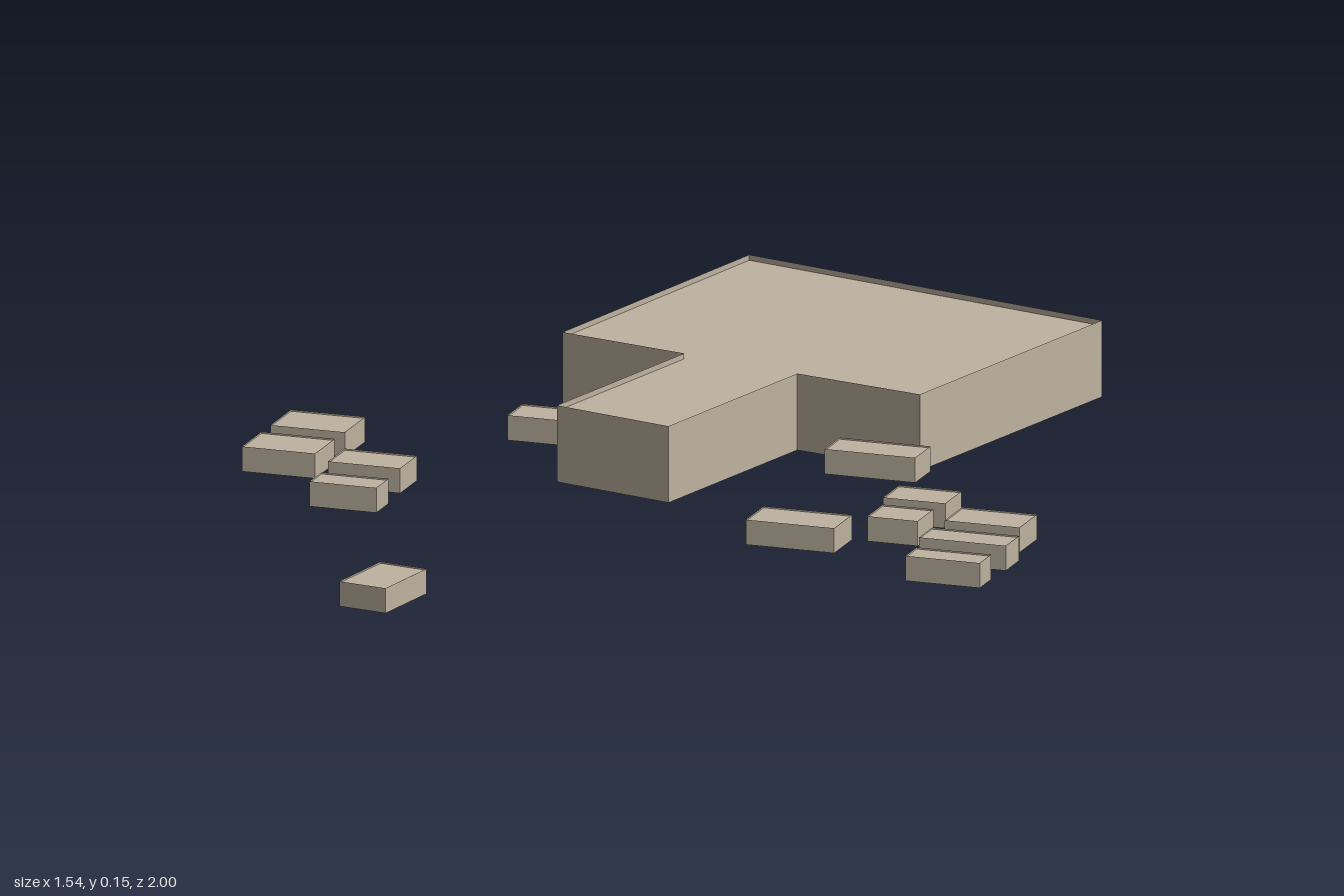
import * as THREE from 'three';

const stone = new THREE.MeshStandardMaterial({ color: 0xbfb3a0, side: THREE.DoubleSide });
stone.name = 'warm stone';

// Open-bottomed building shell: walls around a footprint of [x, z] corners, with a slightly sunken flat roof
function shell(name, corners, bottom, top, recess) {
  const group = new THREE.Group();
  group.name = name;

  const positions = [];
  corners.forEach(([ax, az], i) => {
    const [bx, bz] = corners[(i + 1) % corners.length];
    positions.push(ax, bottom, az, bx, bottom, bz, bx, top, bz);
    positions.push(ax, bottom, az, bx, top, bz, ax, top, az);
  });
  const wallGeometry = new THREE.BufferGeometry();
  wallGeometry.setAttribute('position', new THREE.Float32BufferAttribute(positions, 3));
  wallGeometry.computeVertexNormals();
  const walls = new THREE.Mesh(wallGeometry, stone);
  walls.name = 'walls';

  const outline = new THREE.Shape(corners.map(([x, z]) => new THREE.Vector2(x, -z)));
  const roof = new THREE.Mesh(new THREE.ShapeGeometry(outline).rotateX(-Math.PI / 2), stone);
  roof.position.y = top - recess;
  roof.name = 'roof';

  group.add(walls, roof);
  return group;
}

// Rectangular footprint, counter-clockwise from above
const rectangle = (w, d) => [[-w / 2, d / 2], [w / 2, d / 2], [w / 2, -d / 2], [-w / 2, -d / 2]];

export function createModel() {
  const model = new THREE.Group();
  model.name = 'buildingCluster';

  // Large hall with a narrow front wing
  const hall = [
    [-0.473, -0.254], [-0.222, -0.262], [-0.214, 0.138], [0.021, 0.138],
    [0.013, -0.267], [0.264, -0.278], [0.254, -0.849], [-0.489, -0.847],
  ];
  model.add(shell('mainHall', hall, 0.01, 0.148, 0.01));

  // Small houses: x, z, width, depth, bottom, turn
  const turn = 0.26;
  const houses = [
    [0.034, -0.953, 0.163, 0.053, 0.02, turn],
    [0.230, -0.198, 0.167, 0.078, 0.02, turn],
    [-0.355, -0.068, 0.157, 0.078, 0.018, turn],
    [0.460, -0.002, 0.115, 0.083, 0.018, turn],
    [0.486, 0.103, 0.093, 0.080, 0.013, turn],
    [0.642, 0.052, 0.138, 0.090, 0.018, turn],
    [0.671, 0.161, 0.160, 0.067, 0.013, turn],
    [0.695, 0.259, 0.137, 0.058, 0.006, turn],
    [0.331, 0.188, 0.163, 0.092, 0.0, turn],
    [-0.695, 0.172, 0.137, 0.105, 0.006, turn],
    [-0.658, 0.316, 0.135, 0.100, 0.006, turn],
    [-0.476, 0.322, 0.133, 0.087, 0.008, turn],
    [-0.447, 0.436, 0.123, 0.062, 0.0, turn],
    [-0.040, 0.921, 0.092, 0.145, 0.006, 0.09],
  ];
  houses.forEach(([x, z, w, d, bottom, angle], i) => {
    const house = shell(`house${i + 1}`, rectangle(w, d), bottom, bottom + 0.045, 0.003);
    house.position.set(x, 0, z);
    house.rotation.y = angle;
    model.add(house);
  });

  return model;
}
